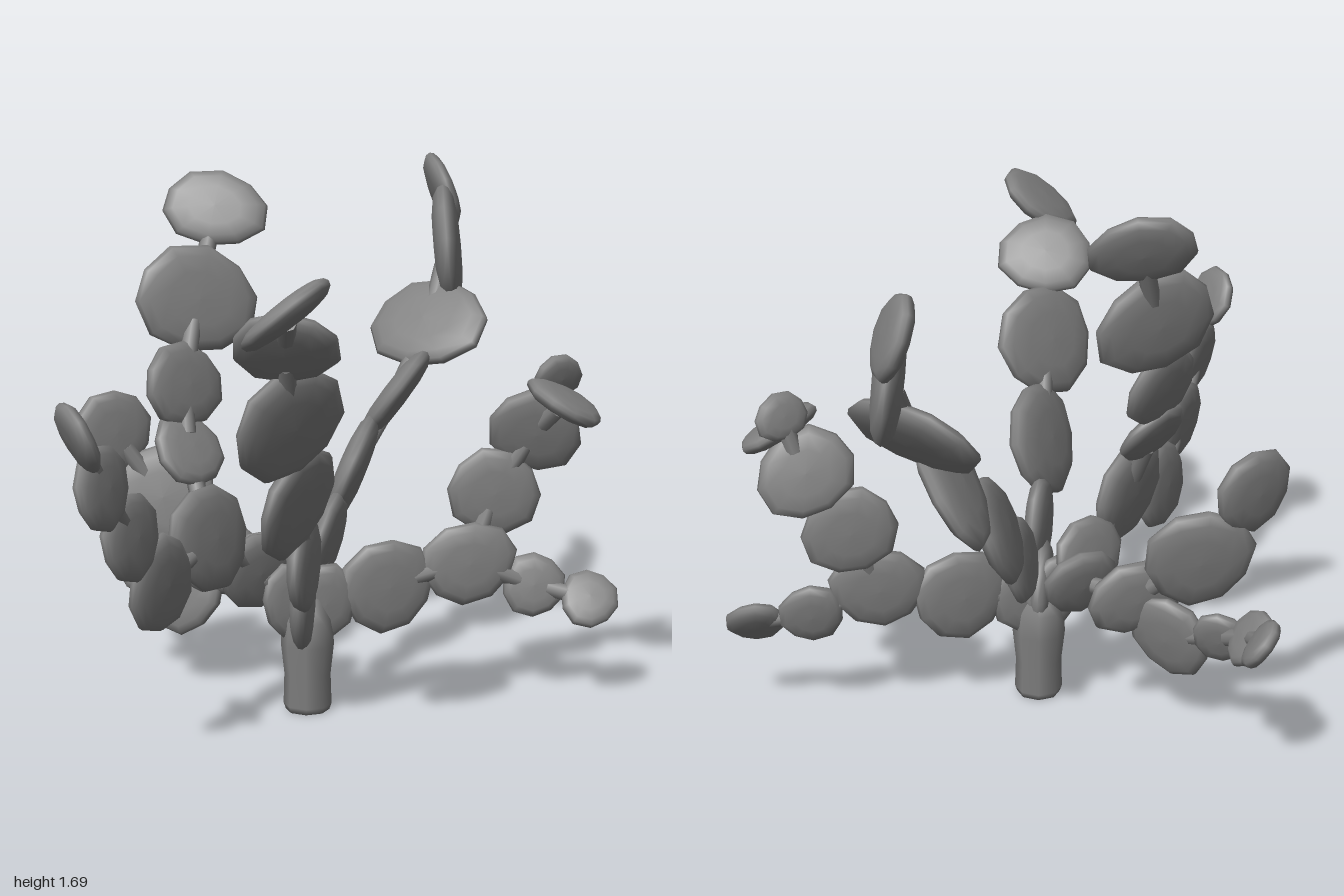
import * as THREE from 'three';

const V = (x, y, z) => new THREE.Vector3(x, y, z);

export function createModel() {
  const model = new THREE.Group();
  model.name = 'padCactus';
  const grey = new THREE.MeshStandardMaterial({ color: 0x808080 });
  grey.name = 'cactusGrey';

  // Unit pad: a rounded ten-sided disc, slightly irregular, flat along y
  const profile = [[0, -0.5], [0.5, -0.47], [0.82, -0.36], [0.97, -0.16], [1, 0.04], [0.95, 0.22], [0.8, 0.38], [0.5, 0.47], [0, 0.5]]
    .map(([r, y]) => new THREE.Vector2(r / 2, y));
  const padGeometry = new THREE.LatheGeometry(profile, 10);
  const p = padGeometry.attributes.position;
  for (let i = 0; i < p.count; i++) {
    const a = Math.atan2(p.getX(i), p.getZ(i));
    const k = 1 + 0.04 * Math.sin(3 * a + 0.6);
    p.setX(i, p.getX(i) * k);
    p.setZ(i, p.getZ(i) * k);
  }

  // A pad grows along the direction from its parent, within the plane of its normal
  function addPad(group, from, [x, y, z, nx, ny, nz, length, width]) {
    const centre = V(x, y, z), n = V(nx, ny, nz).normalize();
    const grow = centre.clone().sub(from);
    const up = grow.clone().addScaledVector(n, -grow.dot(n)).normalize();
    const side = n.clone().cross(up);
    const pad = new THREE.Mesh(padGeometry, grey);
    pad.name = 'pad';
    pad.quaternion.setFromRotationMatrix(new THREE.Matrix4().makeBasis(side, n, up));
    pad.position.copy(centre);
    pad.scale.set(width, 0.035 + 0.14 * length, length);
    group.add(pad);

    // Short neck joining the pad to its parent
    const neck = new THREE.Mesh(new THREE.CylinderGeometry(0.028, 0.028, grow.length() * 0.5, 8), grey);
    neck.name = 'neck';
    neck.position.copy(from).lerp(centre, 0.5);
    neck.quaternion.setFromUnitVectors(V(0, 1, 0), grow.normalize());
    group.add(neck);
    return centre;
  }

  // Branches: start point, then pads as centre, normal, length, width
  const branches = {
    leftBranch: [[-0.12, 0.2, 0.03],
      [-0.07, 0.35, 0.02, 0.35, 0, 0.93, 0.26, 0.22],
      [0.13, 0.39, -0.05, 0.37, 0, 0.93, 0.32, 0.31],
      [0.39, 0.45, -0.12, 0.2, 0.05, 0.97, 0.32, 0.27],
      [0.47, 0.67, -0.18, 0.15, 0, 0.98, 0.29, 0.31],
      [0.6, 0.87, -0.19, 0.1, -0.27, 0.96, 0.28, 0.32],
      [0.69, 0.98, -0.1, 0.5, 0.87, 0.1, 0.23, 0.27]],
    leftTip: [[0.62, 0.9, -0.19],
      [0.67, 1.05, -0.18, 0.5, -0.3, 0.8, 0.15, 0.18]],
    leftLowBranch: [[0.42, 0.44, -0.12],
      [0.6, 0.37, -0.15, 0.1, 0.2, 0.97, 0.21, 0.21],
      [0.78, 0.33, -0.13, 0.1, 0.6, 0.8, 0.19, 0.2]],
    frontBranch: [[-0.12, 0.2, 0.03],
      [-0.13, 0.36, 0.08, 1, 0, 0.1, 0.3, 0.24],
      [-0.12, 0.53, 0.2, 1, 0, 0.15, 0.31, 0.31],
      [-0.13, 0.76, 0.36, 0.85, -0.3, 0.42, 0.38, 0.37],
      [-0.14, 1.04, 0.54, 0.62, -0.3, 0.68, 0.37, 0.39],
      [-0.14, 1.29, 0.68, 0, -0.62, 0.78, 0.28, 0.32],
      [-0.12, 1.42, 0.87, -0.62, 0.75, -0.15, 0.26, 0.31]],
    backBranch: [[-0.1, 0.4, 0],
      [-0.06, 0.54, -0.1, 0.95, -0.2, 0.2, 0.28, 0.28],
      [0.01, 0.72, -0.27, 0.93, -0.35, 0.1, 0.37, 0.34],
      [0.14, 0.93, -0.43, 0.8, -0.58, 0.1, 0.34, 0.44],
      [0.25, 1.15, -0.57, -0.45, 0.65, 0.61, 0.34, 0.46],
      [0.31, 1.39, -0.72, 1, 0.1, 0, 0.41, 0.4],
      [0.29, 1.56, -0.87, 0.92, 0.32, -0.2, 0.27, 0.25]],
    rightTallBranch: [[-0.12, 0.2, 0.03],
      [-0.17, 0.36, 0.04, 0.5, 0, 0.87, 0.26, 0.2],
      [-0.28, 0.47, 0.08, 0.6, -0.2, 0.75, 0.27, 0.26],
      [-0.41, 0.62, 0.26, 0.8, 0.1, 0.55, 0.36, 0.33],
      [-0.48, 0.87, 0.14, 0.6, 0.55, 0.55, 0.25, 0.25],
      [-0.5, 1.06, 0.07, 0.72, 0.22, 0.63, 0.27, 0.31],
      [-0.47, 1.31, -0.05, 0.42, 0.15, 0.9, 0.34, 0.41],
      [-0.42, 1.58, -0.17, 0.05, 0.42, 0.9, 0.25, 0.34]],
    rightFrontBranch: [[-0.43, 0.6, 0.32],
      [-0.53, 0.54, 0.5, 0.86, -0.05, 0.5, 0.29, 0.31],
      [-0.6, 0.72, 0.64, 0.88, 0.1, 0.45, 0.27, 0.27],
      [-0.66, 0.9, 0.78, 0.87, 0.15, 0.4, 0.25, 0.26],
      [-0.71, 1.07, 0.88, 0.8, 0.4, -0.4, 0.22, 0.22]],
    rightBackBranch: [[-0.14, 0.35, 0.02],
      [-0.25, 0.44, -0.06, 0.4, 0.3, 0.85, 0.25, 0.25],
      [-0.42, 0.44, -0.17, 0.3, 0.1, 0.95, 0.32, 0.25],
      [-0.61, 0.62, -0.26, 0.1, 0.2, 0.97, 0.36, 0.34],
      [-0.77, 0.84, -0.25, 0.57, 0.1, 0.8, 0.28, 0.28]],
    rightLowBranch: [[-0.46, 0.44, -0.17],
      [-0.53, 0.32, -0.2, -0.45, 0.2, 0.87, 0.3, 0.26],
      [-0.68, 0.37, -0.31, -0.2, 0.3, 0.93, 0.18, 0.19],
      [-0.76, 0.43, -0.43, 0.8, 0.55, -0.2, 0.2, 0.19],
      [-0.78, 0.48, -0.57, 0.8, 0.55, 0.1, 0.17, 0.17]],
  };
  for (const [name, [start, ...pads]] of Object.entries(branches)) {
    const group = new THREE.Group();
    group.name = name;
    let from = V(...start);
    for (const pad of pads) from = addPad(group, from, pad);
    model.add(group);
  }

  // Trunk: a short stump, swelling slightly under the first pads
  const trunk = new THREE.Mesh(new THREE.LatheGeometry(
    [[0, 0], [0.07, 0], [0.077, 0.02], [0.074, 0.12], [0.085, 0.22], [0.08, 0.3], [0.05, 0.37], [0, 0.4]]
      .map(([r, y]) => new THREE.Vector2(r, y)), 8), grey);
  trunk.name = 'trunk';
  trunk.position.set(-0.12, 0, 0.035);
  model.add(trunk);
  return model;
}
